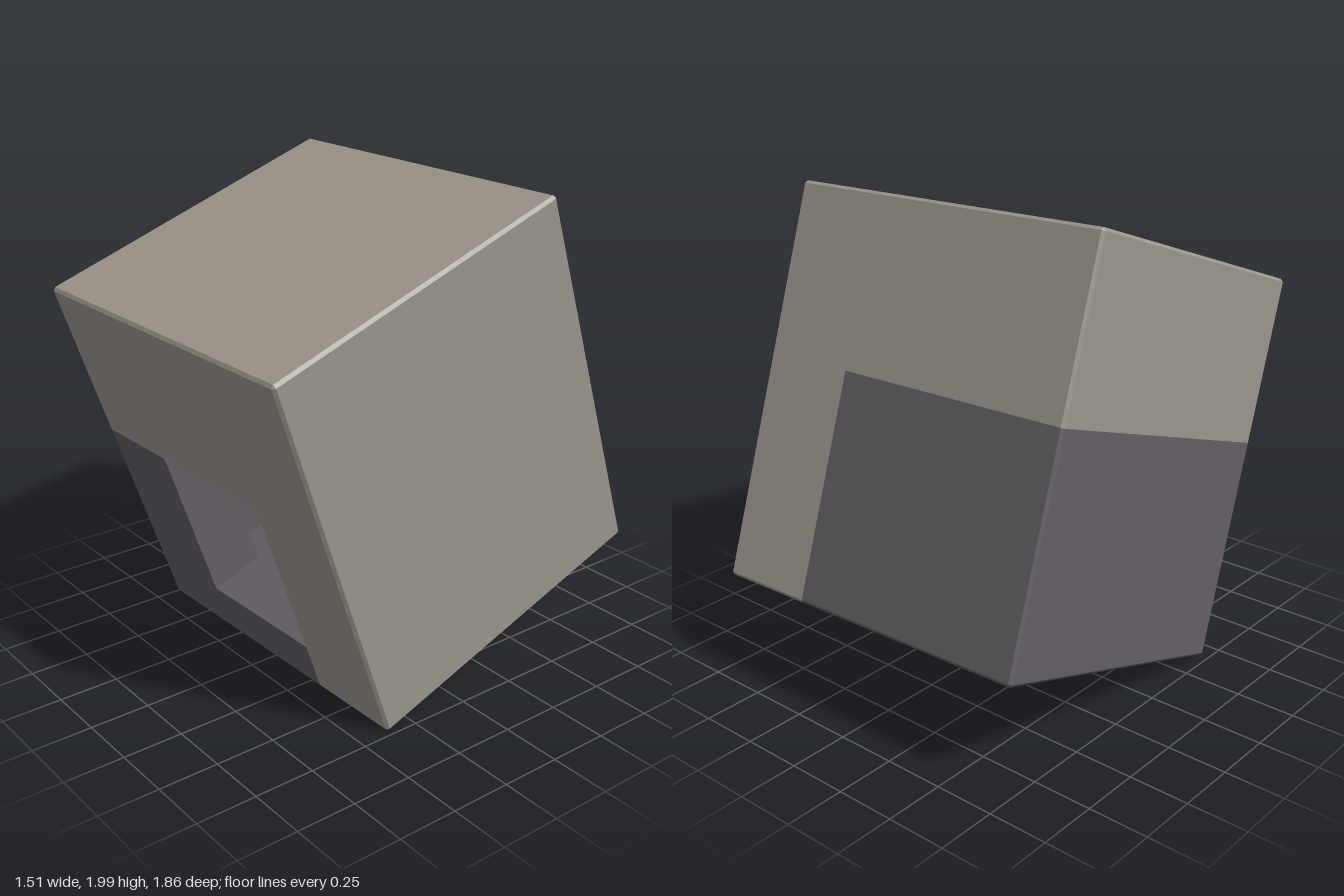
import * as THREE from 'three';

// Half width, half height, half depth and edge chamfer of the tilted block
const U = 0.73, V = 0.81, W = 0.69, B = 0.012;
// Corner of the dark section and size of the opening
const seamX = 0.315, seamY = 0.115, openX = -0.31, sillY = -0.585;
// Inner faces of the hollow
const wallX = -0.67, floorY = -0.74, frontW = W - 0.24, backW = -W + 0.195;

// Extrudes a profile from z = w0 to w1 and chamfers only the block's outer edges
function slab(name, points, w0, w1, material) {
  const shape = new THREE.Shape(points.map(([x, y]) => new THREE.Vector2(x, y)));
  const g = new THREE.ExtrudeGeometry(shape, { depth: 1, steps: 3, bevelEnabled: false });
  const rings = [w0, w0 + B, w1 - B, w1];
  const p = g.attributes.position;
  for (let i = 0; i < p.count; i++) {
    const z = rings[Math.round(p.getZ(i) * 3)];
    let x = p.getX(i), y = p.getY(i);
    if (Math.abs(z) > W - 1e-4) {
      x = THREE.MathUtils.clamp(x, -U + B, U - B);
      y = THREE.MathUtils.clamp(y, -V + B, V - B);
    }
    p.setXYZ(i, x, y, z);
  }
  g.computeVertexNormals();
  const mesh = new THREE.Mesh(g, material);
  mesh.name = name;
  return mesh;
}

export function createModel() {
  const stone = new THREE.MeshStandardMaterial({ color: 0x9a948a });
  stone.name = 'warm grey';
  const dark = new THREE.MeshStandardMaterial({ color: 0x625e64 });
  dark.name = 'dark grey';

  const block = new THREE.Group();
  block.name = 'tiltedBlock';

  // Pale L-shaped body, also forming the ceiling and one side of the hollow
  block.add(slab('body', [
    [seamX, -V], [U - B, -V], [U, -V + B], [U, V - B], [U - B, V],
    [-U + B, V], [-U, V - B], [-U, seamY], [seamX, seamY],
  ], -W, W, stone));

  // Dark L-shaped wall profile with the given inner corner
  const lProfile = (x, y) => [
    [-U + B, -V], [seamX, -V], [seamX, y], [x, y],
    [x, seamY], [-U, seamY], [-U, -V + B],
  ];
  block.add(slab('frontFrame', lProfile(openX, sillY), frontW, W, dark));
  block.add(slab('sideWallAndFloor', lProfile(wallX, floorY), backW, frontW, dark));

  // Solid back wall of the hollow
  block.add(slab('backWall', [
    [-U + B, -V], [seamX, -V], [seamX, seamY], [-U, seamY], [-U, -V + B],
  ], -W, backW, dark));

  // Tip the block forward with a slight twist
  const right = new THREE.Vector3(1.46, -0.015, -0.035).normalize();
  const up = new THREE.Vector3(0.0185, 0.9455, 0.327);
  const front = new THREE.Vector3().crossVectors(right, up).normalize();
  up.crossVectors(front, right);
  block.quaternion.setFromRotationMatrix(new THREE.Matrix4().makeBasis(right, up, front));
  block.position.y = 1;

  const model = new THREE.Group();
  model.name = 'model';
  model.add(block);
  return model;
}
